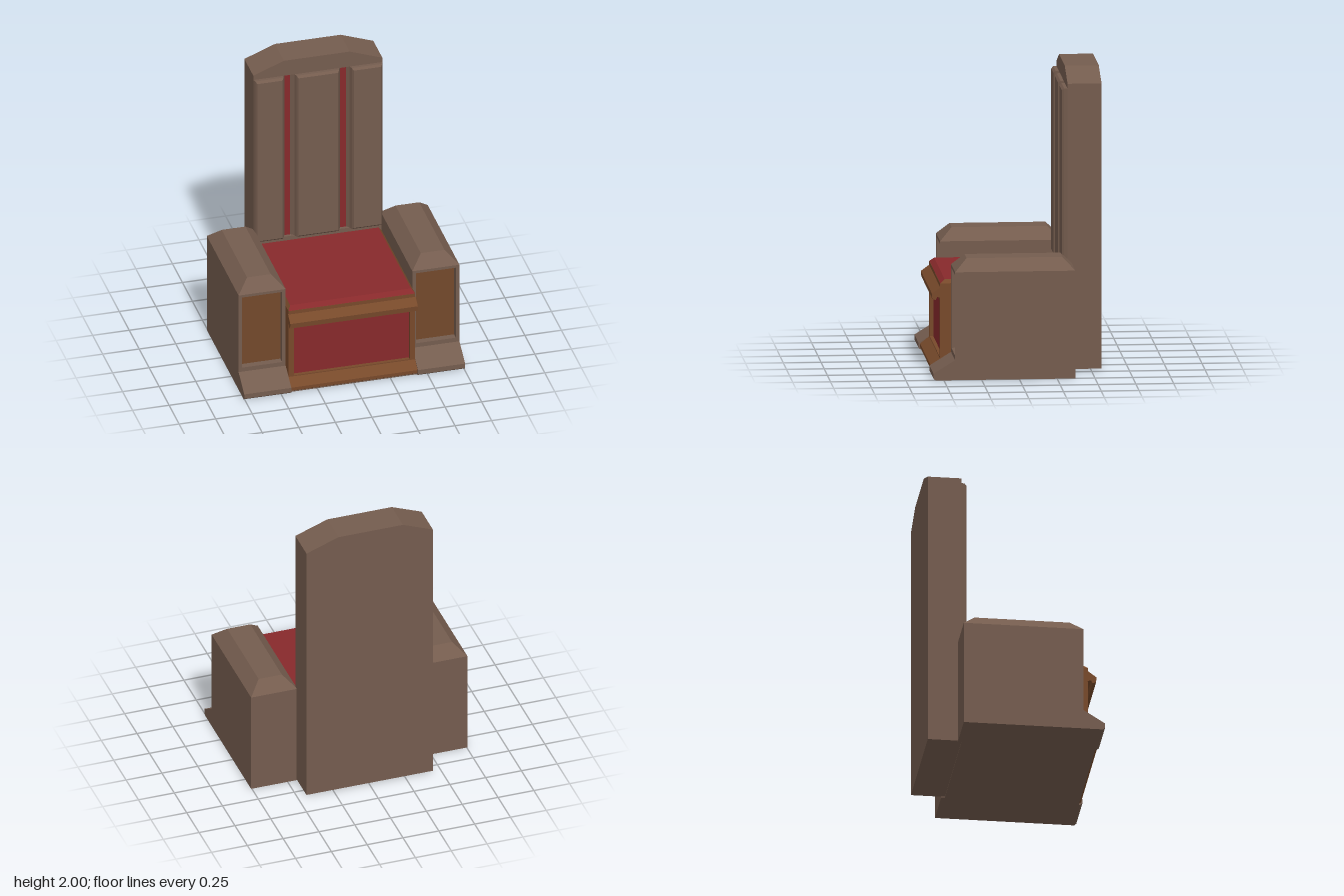
import * as THREE from 'three';

const mat = (name, color) => Object.assign(new THREE.MeshStandardMaterial({ color }), { name });

// Box given by its [min, max] ranges
function box([x0, x1], [y0, y1], [z0, z1]) {
  return new THREE.BoxGeometry(x1 - x0, y1 - y0, z1 - z0)
    .translate((x0 + x1) / 2, (y0 + y1) / 2, (z0 + z1) / 2);
}

// Box whose far end along one axis is narrowed by the given insets
function taper(xr, yr, zr, axis, inset) {
  const ranges = { x: xr, y: yr, z: zr };
  const geo = box(xr, yr, zr);
  const p = geo.attributes.position;
  const get = { x: 'getX', y: 'getY', z: 'getZ' };
  const set = { x: 'setX', y: 'setY', z: 'setZ' };
  for (let i = 0; i < p.count; i++) {
    if (p[get[axis]](i) < ranges[axis][1] - 1e-4) continue;
    for (const a of Object.keys(inset)) {
      const [lo, hi] = ranges[a], [il, ih] = inset[a];
      const low = p[get[a]](i) < (lo + hi) / 2;
      p[set[a]](i, low ? lo + il : hi - ih);
    }
  }
  geo.computeVertexNormals();
  return geo;
}

const shapeOf = (pts) => new THREE.Shape(pts.map(([a, b]) => new THREE.Vector2(a, b)));
const extrude = (shape, depth) => new THREE.ExtrudeGeometry(shape, { depth, bevelEnabled: false });

// Profile of [z, y] points run along x
const moulding = (pts, x0, x1) =>
  extrude(shapeOf(pts), x1 - x0).rotateY(-Math.PI / 2).translate(x1, 0, 0);

// Rectangular frame facing +z
function frame([x0, x1], [y0, y1], [hx0, hx1], [hy0, hy1], z0, z1) {
  const s = shapeOf([[x0, y0], [x1, y0], [x1, y1], [x0, y1]]);
  s.holes.push(new THREE.Path([[hx0, hy0], [hx0, hy1], [hx1, hy1], [hx1, hy0]]
    .map(([a, b]) => new THREE.Vector2(a, b))));
  return extrude(s, z1 - z0).translate(0, 0, z0);
}

export function createModel() {
  const model = new THREE.Group();
  model.name = 'throne';
  const stone = mat('stone brown', 0x745c4e);
  const wood = mat('warm wood', 0x77492a);
  const panelWood = mat('panel wood', 0x73492b);
  const red = mat('red cloth', 0x87292b);
  const add = (name, geo, material, parent = model) => {
    const m = new THREE.Mesh(geo, material);
    m.name = name;
    parent.add(m);
    return m;
  };

  // Armrests: body, deep framed front panel, bevelled cap and sloping foot
  for (const side of [-1, 1]) {
    const arm = new THREE.Group();
    arm.name = side > 0 ? 'leftArm' : 'rightArm';
    const xr = [-0.161, 0.161];
    add('armBody', box(xr, [0, 0.722], [-0.37, 0.376]), stone, arm);
    add('armFrame', frame(xr, [0, 0.722], [-0.137, 0.137], [0.165, 0.703], 0.376, 0.426), stone, arm);
    add('armPanel', box([-0.137, 0.137], [0.165, 0.703], [0.375, 0.38]), panelWood, arm);
    add('armCap', taper(xr, [0.722, 0.802], [-0.37, 0.426], 'y',
      { x: [0.08, 0.08], z: [0.08, 0.082] }), stone, arm);
    add('armFoot', moulding([[0.426, 0], [0.555, 0], [0.569, 0.012], [0.569, 0.045],
      [0.426, 0.134]], ...xr), stone, arm);
    arm.position.x = side * 0.594;
    model.add(arm);
  }

  // Seat box with recessed cloth front, sill, lip and cushion
  const sx = [-0.433, 0.433];
  add('seatBase', box(sx, [0, 0.01], [-0.345, 0.545]), stone);
  add('seatBody', box(sx, [0.01, 0.593], [-0.345, 0.47]), wood);
  add('seatFrame', frame(sx, [0.05, 0.593], [-0.396, 0.396], [0.095, 0.471], 0.47, 0.498), wood);
  add('seatFrontCloth', box([-0.396, 0.396], [0.095, 0.471], [0.469, 0.474]), red);
  add('seatSill', moulding([[0.47, 0.01], [0.548, 0.01], [0.559, 0.018], [0.559, 0.04],
    [0.498, 0.088], [0.47, 0.088]], ...sx), wood);
  add('seatLip', moulding([[0.49, 0.567], [0.498, 0.567], [0.553, 0.526], [0.55, 0.49],
    [0.527, 0.482], [0.518, 0.503], [0.49, 0.495]], -0.436, 0.436), wood);
  add('cushion', taper(sx, [0.593, 0.618], [-0.36, 0.497], 'y', { x: [0.02, 0.02], z: [0, 0.03] }),
    [wood, wood, red, red, red, red]);

  // Backrest: base, slotted core, crown
  const bx = [-0.444, 0.438], back = -0.57, face = -0.345, floor = -0.37;
  add('backBase', box(bx, [0.008, 0.648], [back, face]), stone);
  const slots = [[-0.236, -0.224, -0.187, -0.162], [0.144, 0.156, 0.194, 0.215]];
  const outline = [[bx[0], -back], [bx[0], -face]];
  for (const [a, b, c, d] of slots) outline.push([a, -face], [b, -floor], [c, -floor], [d, -face]);
  outline.push([bx[1], -face], [bx[1], -back]);
  add('backCore', extrude(shapeOf(outline), 1.237).rotateX(-Math.PI / 2).translate(0, 0.648, 0), stone);
  add('crown', extrude(shapeOf([[bx[0], 1.885], [bx[1], 1.885], [bx[1], 1.918], [0.215, 2],
    [-0.235, 2], [bx[0], 1.918]]), face - back).translate(0, 0, back), stone);

  // Raised bevelled boards and the cloth strips between them
  const boards = [[bx[0], slots[0][0]], [slots[0][3], slots[1][0]], [slots[1][3], bx[1]]];
  for (const xr of boards) {
    add('backBoard', taper(xr, [0.648, 1.885], [face, -0.323], 'z', { x: [0.008, 0.008], y: [0, 0] }), stone);
    add('backBoardFace', taper([xr[0] + 0.008, xr[1] - 0.008], [0.648, 1.885], [-0.323, -0.309], 'z',
      { x: [0.01, 0.01], y: [0.014, 0.014] }), stone);
  }
  for (const [, b, c] of slots) {
    add('backStrip', box([b, c], [0.648, 1.885], [floor - 0.001, floor + 0.004]), red);
  }
  return model;
}
